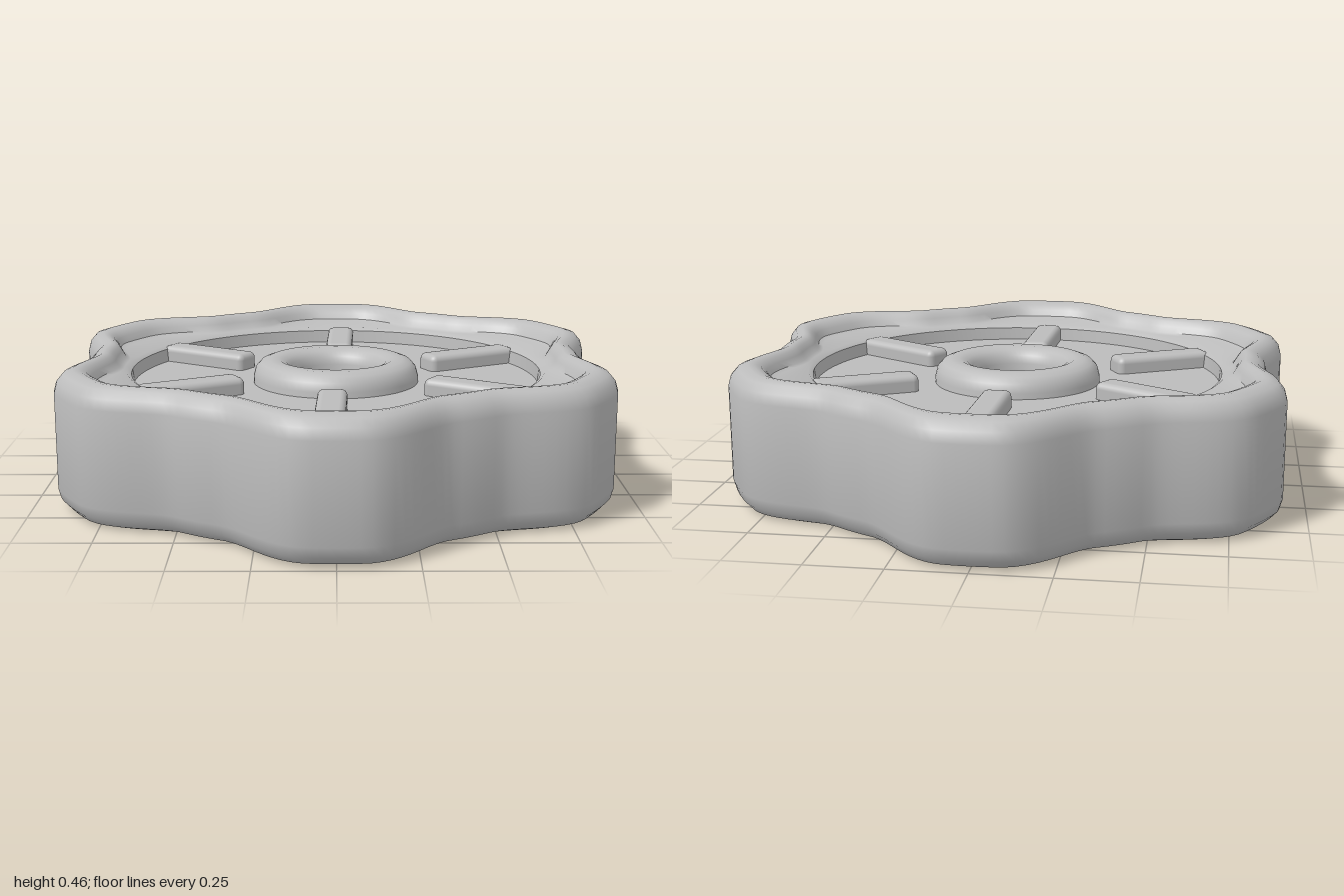
import * as THREE from 'three';
import { toCreasedNormals } from 'three/addons/utils/BufferGeometryUtils.js';
import { RoundedBoxGeometry } from 'three/addons/geometries/RoundedBoxGeometry.js';

const HEIGHT = 0.46;
const MID = HEIGHT / 2;
const LOBES = 6;

// 0 on the crown of a lobe, 1 in the valley between two lobes
function valley(angle) {
  const step = (Math.PI * 2) / LOBES;
  const a = Math.abs(angle - Math.round(angle / step) * step);
  return THREE.MathUtils.smoothstep(THREE.MathUtils.radToDeg(a), 5, 25);
}

// Closed profile (bottom, outside, top) mirrored from its upper half: [radius, y, ...rest]
function mirrorProfile(upper) {
  const lower = upper.map(([r, y, ...rest]) => [r, HEIGHT - y, ...rest]).reverse();
  return [...lower, ...upper];
}

// Lathe whose rows are pulled inwards between the lobes by each row's third value
function lobedLathe(profile, segments) {
  const geo = new THREE.LatheGeometry(profile.map(([r, y]) => new THREE.Vector2(r, y)), segments);
  const pos = geo.attributes.position;
  for (let i = 0; i < pos.count; i++) {
    const [r, , depth] = profile[i % profile.length];
    const angle = Math.atan2(pos.getX(i), pos.getZ(i));
    const k = (r - depth * valley(angle)) / r;
    pos.setX(i, pos.getX(i) * k);
    pos.setZ(i, pos.getZ(i) * k);
  }
  return toCreasedNormals(geo, 0.65);
}

export function createModel() {
  const group = new THREE.Group();
  group.name = 'handwheel';
  const grey = new THREE.MeshStandardMaterial({ color: 0xbcbcbc });
  grey.name = 'light grey';

  const add = (geometry, name, parent = group) => {
    const mesh = new THREE.Mesh(geometry, grey);
    mesh.name = name;
    parent.add(mesh);
    return mesh;
  };

  // Lobed rim, stepped shelf and round recessed web
  const wheel = mirrorProfile([
    [1.0, 0.39, 0.135],
    [0.99, 0.425, 0.135],
    [0.967, 0.45, 0.135],
    [0.935, 0.46, 0.13],
    [0.915, 0.459, 0.125],
    [0.89, 0.45, 0.115],
    [0.873, 0.432, 0.11],
    [0.86, 0.41, 0.11],
    [0.84, 0.403, 0.105],
    [0.725, 0.4, 0],
    [0.71, 0.39, 0],
    [0.705, 0.345, 0],
    [0.22, 0.345, 0],
  ]);
  add(lobedLathe(wheel, 180), 'rimAndWeb');

  // Rounded hub with a through bore
  const hub = mirrorProfile([
    [0.288, 0.365],
    [0.28, 0.395],
    [0.262, 0.415],
    [0.235, 0.425],
    [0.2, 0.425],
    [0.175, 0.415],
    [0.158, 0.398],
    [0.15, 0.37],
  ]);
  hub.push(hub[0]);
  const hubPoints = hub.map(([r, y]) => new THREE.Vector2(r, y));
  add(toCreasedNormals(new THREE.LatheGeometry(hubPoints, 64), 0.65), 'hub');

  // Ribs standing proud of the web on both faces, one under each lobe
  const ribGeo = new RoundedBoxGeometry(0.098, 0.344, 0.36, 3, 0.022);
  for (let i = 0; i < LOBES; i++) {
    const arm = new THREE.Group();
    arm.name = `ribArm${i + 1}`;
    arm.rotation.y = (i * Math.PI * 2) / LOBES - 0.03;
    add(ribGeo, 'rib', arm).position.set(0, MID, 0.55);
    group.add(arm);
  }

  return group;
}
